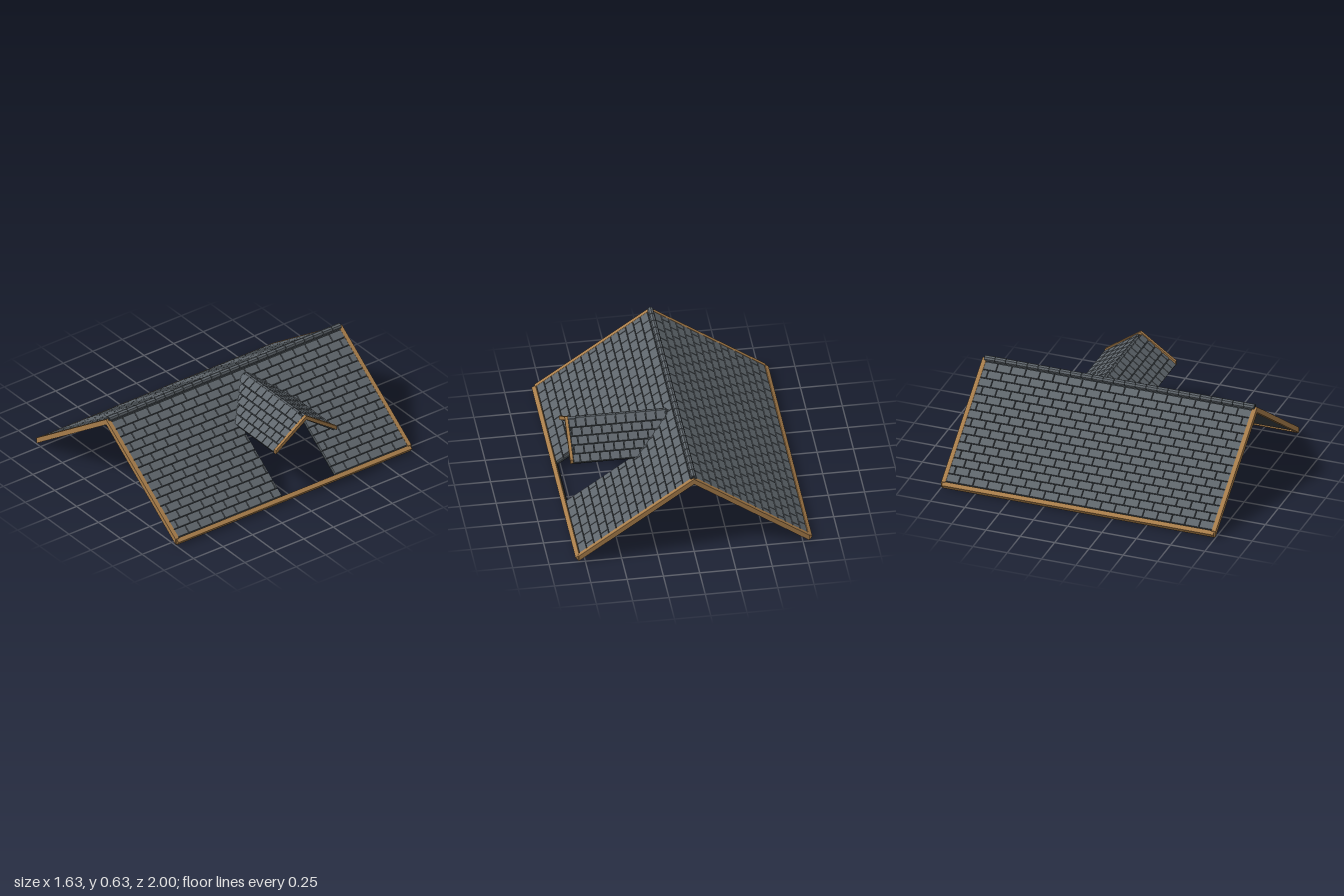
import * as THREE from 'three';
import { mergeGeometries } from 'three/addons/utils/BufferGeometryUtils.js';

const material = (name, color) => {
  const m = new THREE.MeshStandardMaterial({ color });
  m.name = name;
  return m;
};

export function createModel() {
  const slate = material('slate grey', 0x5f666c);
  const deckDark = material('dark underlay', 0x363c40);
  const wood = material('trim wood', 0xa87d4a);

  const model = new THREE.Group();
  model.name = 'gabledRoof';

  const add = (parent, name, geometry, mat) => {
    const mesh = new THREE.Mesh(geometry, mat);
    mesh.name = name;
    parent.add(mesh);
    return mesh;
  };

  const polygon = pts => pts.map(([x, y]) => new THREE.Vector2(x, y));

  // One slope: local x runs down from the ridge, y is the normal, z runs along the ridge
  function slope(name, { position, yaw, angle, outline, hole, rows, pitch, start, width, range, spans }) {
    const group = new THREE.Group();
    group.name = name;
    group.position.set(...position);
    group.rotation.set(0, yaw, -angle);
    model.add(group);

    const shape = new THREE.Shape(polygon(outline));
    if (hole) shape.holes.push(new THREE.Path(polygon(hole)));
    const deck = new THREE.ExtrudeGeometry(shape, { depth: 0.016, bevelEnabled: false });
    deck.rotateX(Math.PI / 2).translate(0, 0.004, 0);
    add(group, name + 'Deck', deck, deckDark);

    // Courses of shingles in running bond, clipped to the covered spans
    const gap = 0.006, tiles = [];
    for (let r = 0; r < rows; r++) {
      const u = start + (r + 0.5) * pitch;
      for (let z = range[0] - (r % 2) * width / 2; z < range[1]; z += width) {
        for (const [a, b] of spans(u)) {
          const lo = Math.max(a, z + gap / 2), hi = Math.min(b, z + width - gap / 2);
          if (hi - lo < 0.006) continue;
          tiles.push(new THREE.BoxGeometry(pitch - gap, 0.012, hi - lo).translate(u, 0.01, (lo + hi) / 2));
        }
      }
    }
    add(group, name + 'Shingles', mergeGeometries(tiles), slate);
  }

  // Mitred pair of sloping boards, extruded along z
  function chevron(halfWidth, rise, thick, depth) {
    const shape = new THREE.Shape(polygon([
      [0, 0], [-halfWidth, -rise], [-halfWidth, -rise - thick],
      [0, -thick], [halfWidth, -rise - thick], [halfWidth, -rise],
    ]));
    return new THREE.ExtrudeGeometry(shape, { depth, bevelEnabled: false }).translate(0, 0, -depth / 2);
  }

  // Faceted ridge caps over a dark core, running along z
  function ridge(name, radius, from, to, count) {
    const group = new THREE.Group();
    group.name = name;
    const rod = (r, length, z) => {
      const g = new THREE.CylinderGeometry(r, r, length, 8).rotateX(Math.PI / 2).translate(0, 0, z).toNonIndexed();
      g.computeVertexNormals();
      return g;
    };
    const step = (to - from) / count, caps = [];
    for (let i = 0; i < count; i++) caps.push(rod(radius, step - 0.007, from + (i + 0.5) * step));
    add(group, name + 'Caps', mergeGeometries(caps), slate);
    add(group, name + 'Core', rod(radius * 0.8, to - from, (from + to) / 2), deckDark);
    model.add(group);
    return group;
  }

  // Main roof, with the dormer opening on the left (+x) slope
  const angle = Math.atan2(0.565, 0.8);
  const dz = -0.135, half = 0.228, tip = 0.073, shoulder = 0.367, end = 0.954;
  const main = {
    position: [0, 0.588, 0], angle, rows: 15, pitch: 0.0625, start: 0.015, width: 0.103, range: [-0.975, 0.975],
    outline: [[0, -0.975], [0.965, -0.975], [0.965, 0.975], [0, 0.975]],
  };
  slope('rightSlope', { ...main, yaw: Math.PI, spans: () => [[-0.97, 0.97]] });
  slope('leftSlope', {
    ...main, yaw: 0,
    hole: [[tip, dz], [shoulder, dz + half], [end, dz + half], [end, dz - half], [shoulder, dz - half]],
    spans: u => {
      const w = half * THREE.MathUtils.clamp((u - tip) / (shoulder - tip), 0, 1);
      return w ? [[-0.97, dz - w], [dz + w, 0.97]] : [[-0.97, 0.97]];
    },
  });

  // Gable end boards and eave beams
  for (const s of [1, -1]) {
    add(model, s > 0 ? 'frontGableBoards' : 'backGableBoards', chevron(0.795, 0.561, 0.043, 0.03), wood)
      .position.set(0, 0.609, s * 0.985);
    const eave = add(model, s > 0 ? 'leftEaveBeam' : 'rightEaveBeam', new THREE.BoxGeometry(0.032, 0.036, 1.98), wood);
    eave.position.set(s * 0.793, 0.024, 0);
    eave.rotation.z = -s * angle;
  }
  ridge('mainRidge', 0.021, -0.985, 0.985, 25).position.y = 0.606;

  // Dormer roof, cut back along the valleys
  const fall = Math.atan2(0.19, 0.255), length = 0.318;
  const valley = u => 0.03 + 0.255 * u / length;
  for (const s of [1, -1]) {
    slope(s > 0 ? 'dormerBackSlope' : 'dormerFrontSlope', {
      position: [0, 0.572, dz], yaw: s * Math.PI / 2, angle: fall,
      rows: 5, pitch: 0.063, start: 0.004, width: 0.069,
      range: s > 0 ? [0, 0.74] : [-0.74, 0],
      outline: [[0, s * 0.03], [0, s * 0.742], [length, s * 0.742], [length, s * 0.285]],
      spans: u => [s > 0 ? [valley(u), 0.735] : [-0.735, -valley(u)]],
    });
  }
  const dormerRidge = ridge('dormerRidge', 0.014, 0.065, 0.685, 9);
  dormerRidge.position.set(0, 0.576, dz);
  dormerRidge.rotation.y = Math.PI / 2;
  const gable = add(model, 'dormerGableBoards', chevron(0.258, 0.182, 0.03, 0.022), wood);
  gable.position.set(0.75, 0.595, dz);
  gable.rotation.y = Math.PI / 2;

  return model;
}
